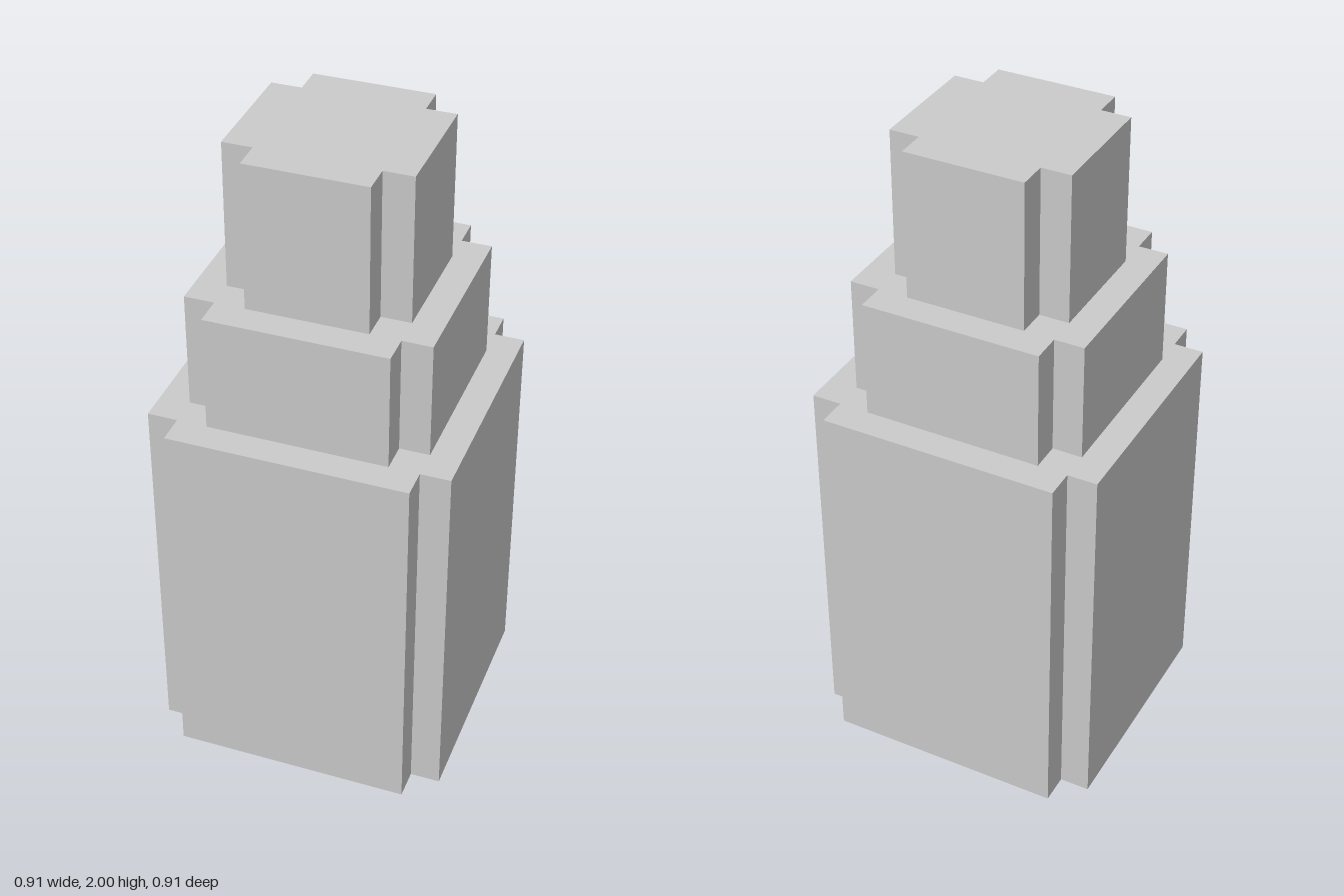
import * as THREE from 'three';

const U = 1 / 11; // one block of the model's grid

// Square outline with a one-block notch at each corner
function notchedSquare(half) {
  const a = half * U, b = (half - 1) * U;
  const shape = new THREE.Shape();
  const corner = [[a, -b], [a, b], [b, b]];
  const points = [];
  for (let i = 0; i < 4; i++) {
    for (let [x, y] of corner) {
      for (let k = 0; k < i; k++) [x, y] = [-y, x];
      points.push(new THREE.Vector2(x, y));
    }
  }
  return shape.setFromPoints(points);
}

export function createModel() {
  const group = new THREE.Group();
  group.name = 'steppedTower';
  const material = new THREE.MeshStandardMaterial({ color: 0xcccccc, flatShading: true });

  // Three stacked tiers, each one block narrower per side
  const tiers = [
    { name: 'lowerTier', half: 5, bottom: 0, top: 13 },
    { name: 'middleTier', half: 4, bottom: 13, top: 17 },
    { name: 'upperTier', half: 3, bottom: 17, top: 22 },
  ];
  for (const { name, half, bottom, top } of tiers) {
    const geometry = new THREE.ExtrudeGeometry(notchedSquare(half), {
      depth: (top - bottom) * U,
      bevelEnabled: false,
    });
    geometry.rotateX(-Math.PI / 2);
    const mesh = new THREE.Mesh(geometry, material);
    mesh.name = name;
    mesh.position.y = bottom * U;
    group.add(mesh);
  }
  return group;
}
